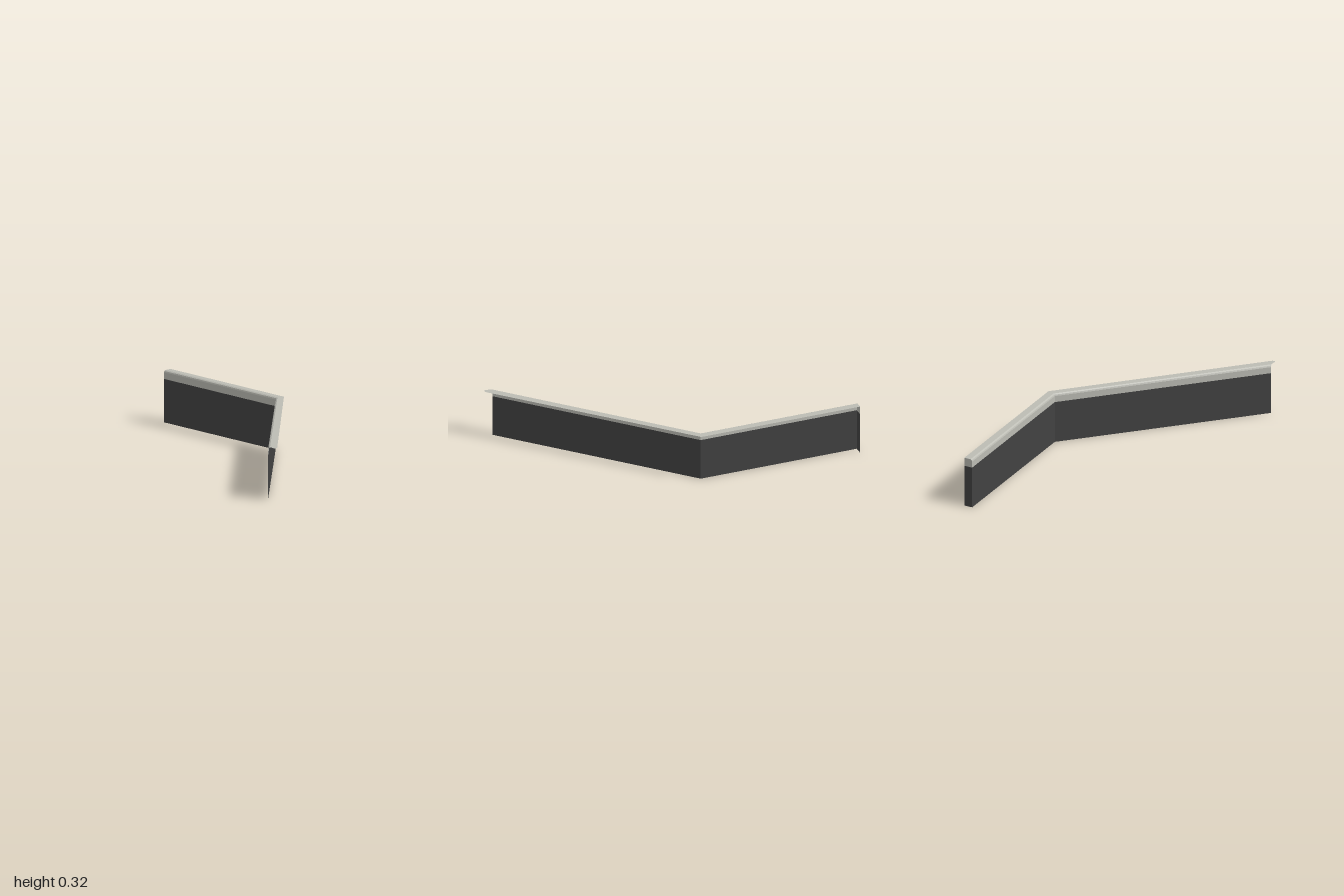
import * as THREE from 'three';

// Plan lines [x, z] of the wall face and of the rear edge of its coping
const face = [[-1, -0.462], [-0.005, -0.439], [0.943, 0.514]];
const rear = [[-1, -0.515], [0.012, -0.491], [1, 0.493]];
const SPLIT = 0.265, SHOULDER = 0.305, TOP = 0.318;

// Point on the plan at station i, a fraction t of the way back, at height y
function at(i, t, y) {
  const [a, b] = [face[i], rear[i]];
  return [a[0] + (b[0] - a[0]) * t, y, a[1] + (b[1] - a[1]) * t];
}

// Flat mesh from convex polygons, each fanned into triangles
function sheet(name, polygons, material) {
  const pos = [];
  for (const p of polygons)
    for (let k = 1; k < p.length - 1; k++) pos.push(...p[0], ...p[k], ...p[k + 1]);
  const g = new THREE.BufferGeometry();
  g.setAttribute('position', new THREE.Float32BufferAttribute(pos, 3));
  g.computeVertexNormals();
  const mesh = new THREE.Mesh(g, material);
  mesh.name = name;
  return mesh;
}

// Strip along both runs between two profile points [t, y]
function strip(lo, hi) {
  return [0, 1].map(i => [at(i, ...lo), at(i + 1, ...lo), at(i + 1, ...hi), at(i, ...hi)]);
}

export function createModel() {
  const dark = new THREE.MeshStandardMaterial({ color: 0x424242, side: THREE.DoubleSide });
  dark.name = 'dark wall';
  const light = new THREE.MeshStandardMaterial({ color: 0xbcbcb4, side: THREE.DoubleSide });
  light.name = 'light coping';

  const group = new THREE.Group();
  group.name = 'parapet';

  // Wall sheet and the light band above it
  group.add(sheet('wall', strip([0, 0], [0, SPLIT]), dark));
  group.add(sheet('copingBand', strip([0, SPLIT], [0, SHOULDER]), light));

  // Rounded shoulder in two facets, then the flat overhanging top
  group.add(sheet('copingShoulder', [
    ...strip([0, SHOULDER], [0.06, 0.313]),
    ...strip([0.06, 0.313], [0.22, TOP]),
  ], light));
  const top = strip([0.22, TOP], [1, TOP]);
  top[1].splice(2, 0, [1, TOP, 0.514]); // squared-off far end
  group.add(sheet('copingTop', top, light));

  // Return at the right-hand end, closing the profile
  group.add(sheet('endWall', [
    [at(0, 0, 0), at(0, 0, SPLIT), at(0, 1, SPLIT), at(0, 1, 0)],
  ], dark));
  group.add(sheet('endCoping', [
    [at(0, 0, SPLIT), at(0, 0, SHOULDER), at(0, 0.06, 0.313), at(0, 0.22, TOP), at(0, 1, TOP), at(0, 1, SPLIT)],
  ], light));

  return group;
}
